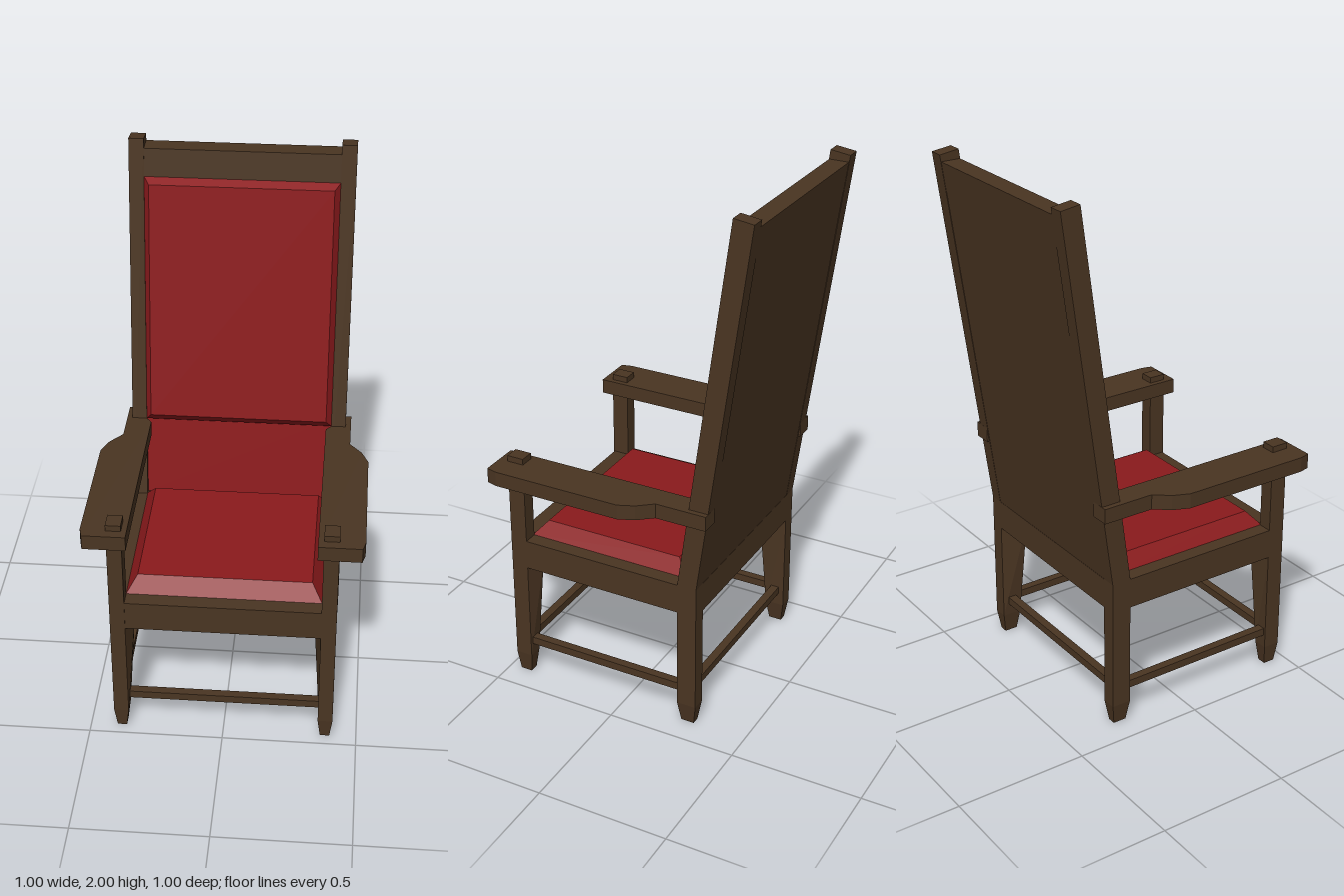
import * as THREE from 'three';

const wood = new THREE.MeshStandardMaterial({ color: 0x4a3522, flatShading: true });
const fabric = new THREE.MeshStandardMaterial({ color: 0x8b1a1c, flatShading: true });

// four corners of a level rectangle, counter-clockwise from above
const ring = (y, x0, x1, z0, z1) => [[x0, y, z1], [x1, y, z1], [x1, y, z0], [x0, y, z0]];

// closed solid through a row of four-cornered rings
function loft(rings) {
  const pos = [];
  const quad = (a, b, c, d) => pos.push(...a, ...b, ...c, ...a, ...c, ...d);
  for (let i = 0; i + 1 < rings.length; i++) {
    for (let k = 0; k < 4; k++) {
      const n = (k + 1) % 4;
      quad(rings[i][k], rings[i][n], rings[i + 1][n], rings[i + 1][k]);
    }
  }
  const [a, b, c, d] = rings[0];
  quad(d, c, b, a);
  quad(...rings[rings.length - 1]);
  const g = new THREE.BufferGeometry();
  g.setAttribute('position', new THREE.Float32BufferAttribute(pos, 3));
  g.computeVertexNormals();
  return g;
}

// the back leans rearwards above the seat
const SEAT = 0.59;
const BOTTOM = 0.475;
const IN = 0.355;
const OUT = 0.41;
const lean = (y) => -0.138 * Math.max(0, y - SEAT);

export function createModel() {
  const chair = new THREE.Group();
  chair.name = 'armchair';
  const add = (name, geometry, material = wood) => {
    const mesh = new THREE.Mesh(geometry, material);
    mesh.name = name;
    chair.add(mesh);
    return mesh;
  };
  const box = (name, x0, x1, y0, y1, z0, z1, material) =>
    add(name, loft([ring(y0, x0, x1, z0, z1), ring(y1, x0, x1, z0, z1)]), material);

  for (const s of [1, -1]) {
    const side = s > 0 ? 'left' : 'right';
    const legRing = (y, z0, z1, inset = 0) => {
      const xs = [s * (IN + inset), s * (OUT - inset)].sort((a, b) => a - b);
      return ring(y, xs[0], xs[1], z0 + inset, z1 - inset);
    };
    // inner corner of the leg widens up to the seat frame
    const flared = (z0, z1, front) => {
      const r = legRing(BOTTOM, z0, z1);
      const corner = r[front ? (s > 0 ? 3 : 2) : (s > 0 ? 0 : 1)];
      corner[0] -= s * 0.025;
      corner[2] += front ? -0.02 : 0.025;
      return r;
    };

    // front leg, rising through the armrest as a peg
    add(`${side}FrontLeg`, loft([
      legRing(0, 0.4, 0.465, 0.01), legRing(0.08, 0.4, 0.465), flared(0.4, 0.465, true),
      legRing(BOTTOM, 0.4, 0.465), legRing(0.935, 0.4, 0.465),
    ]));

    // back leg and leaning post in one piece
    const top = legRing(2, -0.305 + lean(2), -0.23 + lean(2));
    top[2][1] = top[3][1] = 1.99;
    add(`${side}BackPost`, loft([
      legRing(0, -0.305, -0.23, 0.012), legRing(0.08, -0.305, -0.23), flared(-0.305, -0.23, false),
      legRing(BOTTOM, -0.305, -0.23), legRing(SEAT, -0.305, -0.23), top,
    ]));

    // side rail and stretcher
    const [a, b] = [s * IN, s * OUT].sort((p, q) => p - q);
    box(`${side}SeatRail`, a, b, BOTTOM, SEAT, -0.24, 0.41);
    box(`${side}Stretcher`, s * 0.385 - 0.016, s * 0.385 + 0.016, 0.13, 0.16, -0.25, 0.42);

    // armrest outline, drawn as (x, -z)
    const outline = [
      [0.335, -0.5], [0.49, -0.5], [0.5, -0.46], [0.5, 0.04], [0.475, 0.1],
      [0.43, 0.155], [0.43, 0.35], [0.36, 0.35], [0.355, 0.275], [0.335, 0.25],
    ].map(([x, y]) => new THREE.Vector2(s * x, y));
    const arm = new THREE.ExtrudeGeometry(new THREE.Shape(outline), { depth: 0.057, bevelEnabled: false });
    arm.rotateX(-Math.PI / 2).translate(0, 0.855, 0);
    add(`${side}Armrest`, arm);
  }

  // front rail, cross stretchers and half board beneath the seat
  box('frontSeatRail', -IN, IN, BOTTOM, SEAT, 0.4, 0.462);
  box('frontStretcher', -IN, IN, 0.13, 0.16, 0.415, 0.447);
  box('backStretcher', -IN, IN, 0.13, 0.16, -0.284, -0.252);
  box('seatBoard', -IN, 0.02, 0.474, 0.49, -0.24, 0.405);

  // seat cushion with sloping edges
  add('seatCushion', loft([
    ring(0.575, -IN, IN, -0.235, 0.405), ring(SEAT, -IN, IN, -0.235, 0.405),
    ring(0.645, -0.317, 0.317, -0.19, 0.357),
  ]), fabric);

  // leaning slabs between the posts
  const slab = (ys, back, front) => loft(ys.map((y) => ring(y, -IN, IN, back + lean(y), front + lean(y))));
  add('backSeatRail', slab([BOTTOM, SEAT], -0.305, -0.235));
  add('backPanel', slab([SEAT, 1.87], -0.304, -0.262));
  add('topRail', slab([1.855, 1.965], -0.305, -0.231));
  add('lowerBackUpholstery', slab([SEAT, 0.93], -0.265, -0.25), fabric);

  // back cushion, stepped forward from the panel with sloping edges
  const face = (x, y0, y1, z) => [[-x, y0], [x, y0], [x, y1], [-x, y1]].map(([px, y]) => [px, y, z + lean(y)]);
  add('backCushion', loft([
    face(IN, 0.912, 1.862, -0.265), face(IN, 0.912, 1.862, -0.231), face(0.335, 0.945, 1.845, -0.2),
  ]), fabric);

  return chair;
}
